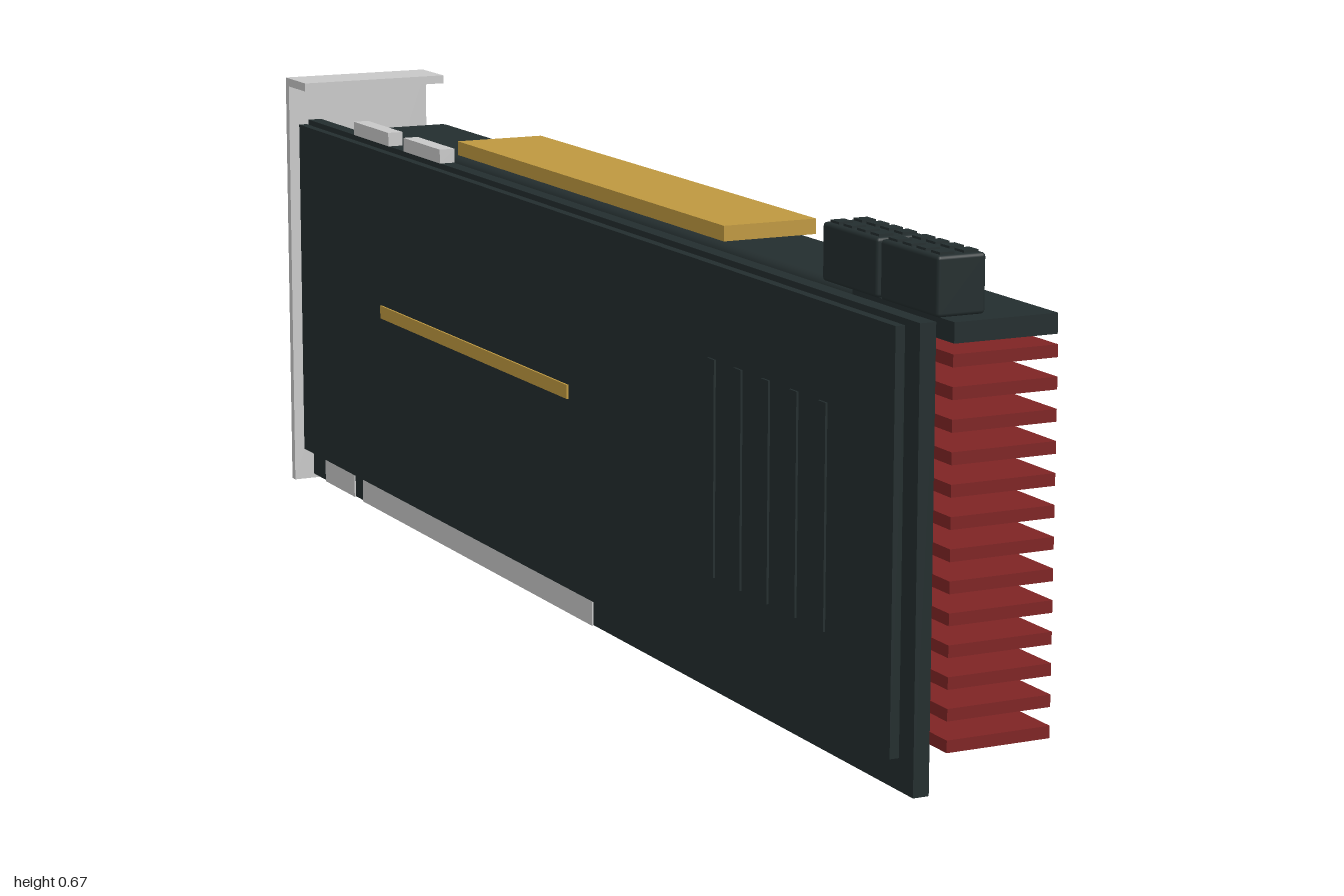
import * as THREE from 'three';
import { RoundedBoxGeometry } from 'three/addons/geometries/RoundedBoxGeometry.js';

const material = (name, color) => {
  const m = new THREE.MeshStandardMaterial({ color });
  m.name = name;
  return m;
};

export function createModel() {
  const dark = material('charcoal', 0x232d2e);
  const silver = material('silver', 0xc8c8c8);
  const gold = material('gold', 0xbe9840);
  const red = material('red', 0x7e2424);

  const model = new THREE.Group();
  model.name = 'expansionCard';

  // A box from its limits on each axis; a radius rounds the edges
  const box = (name, mat, [x0, x1], [y0, y1], [z0, z1], radius = 0) => {
    const size = [x1 - x0, y1 - y0, z1 - z0];
    const geometry = radius
      ? new RoundedBoxGeometry(...size, 2, radius)
      : new THREE.BoxGeometry(...size);
    const mesh = new THREE.Mesh(geometry, mat);
    mesh.name = name;
    mesh.position.set((x0 + x1) / 2, (y0 + y1) / 2, (z0 + z1) / 2);
    model.add(mesh);
    return mesh;
  };

  // Circuit board with edge connector and bridge tabs
  box('circuitBoard', dark, [-0.092, -0.07], [0.01, 0.596], [-0.967, 1]);
  for (const z of [[-0.75, 0.1], [-0.91, -0.785]])
    box('edgeConnector', silver, [-0.094, -0.068], [0.009, 0.068], z);
  for (const z of [[-0.57, -0.43], [-0.77, -0.63]])
    box('bridgeTab', silver, [-0.093, -0.069], [0.596, 0.617], z);

  // Backplate with raised slots and an accent line
  box('backplate', dark, [-0.111, -0.098], [0.055, 0.59], [-0.96, 0.975]);
  for (let i = 0; i < 5; i++) {
    const z = 0.5 + i * 0.075;
    box('backplateSlot', dark, [-0.114, -0.11], [0.175, 0.466], [z - 0.01, z + 0.01]);
  }
  box('backplateAccent', gold, [-0.114, -0.11], [0.33, 0.35], [-0.62, 0.06]);

  // Shroud and its gold panels
  box('shroud', dark, [-0.034, 0.113], [0.02, 0.59], [-0.877, 0.745], 0.013);
  box('sidePanel', gold, [0.112, 0.119], [0.126, 0.48], [-0.577, 0.21]);
  box('sideAccent', gold, [0.112, 0.119], [0.078, 0.098], [-0.77, -0.364]);
  box('topPanel', gold, [-0.033, 0.106], [0.596, 0.617], [-0.5, 0.38]);

  // Cooling fins under a cap
  box('finCap', dark, [-0.033, 0.112], [0.563, 0.589], [0.73, 0.98]);
  for (let i = 0; i < 13; i++) {
    const y = 0.062 + i * 0.04;
    box('coolingFin', red, [-0.034, 0.113], [y - 0.008, y + 0.008], [0.735, 0.98]);
  }

  // Power sockets with rows of pin caps
  for (const z of [0.76, 0.907]) {
    box('powerSocket', dark, [-0.055, 0.012], [0.595, 0.67], [z - 0.07, z + 0.07], 0.005);
    for (const x of [-0.038, -0.005])
      for (let i = 0; i < 4; i++) {
        const pz = z - 0.051 + i * 0.034;
        box('socketPin', dark, [x - 0.01, x + 0.01], [0.668, 0.673], [pz - 0.011, pz + 0.011]);
      }
  }

  // Mounting bracket with top flange and vents
  box('bracket', silver, [-0.12, 0.12], [0, 0.663], [-0.993, -0.98]);
  box('bracketFlange', silver, [-0.12, 0.12], [0.65, 0.663], [-0.98, -0.908]);
  for (let i = 0; i < 8; i++) {
    const y = 0.095 + i * 0.06;
    box('bracketVent', dark, [-0.033, 0.086], [y - 0.015, y + 0.015], [-1, -0.992]);
  }

  return model;
}
